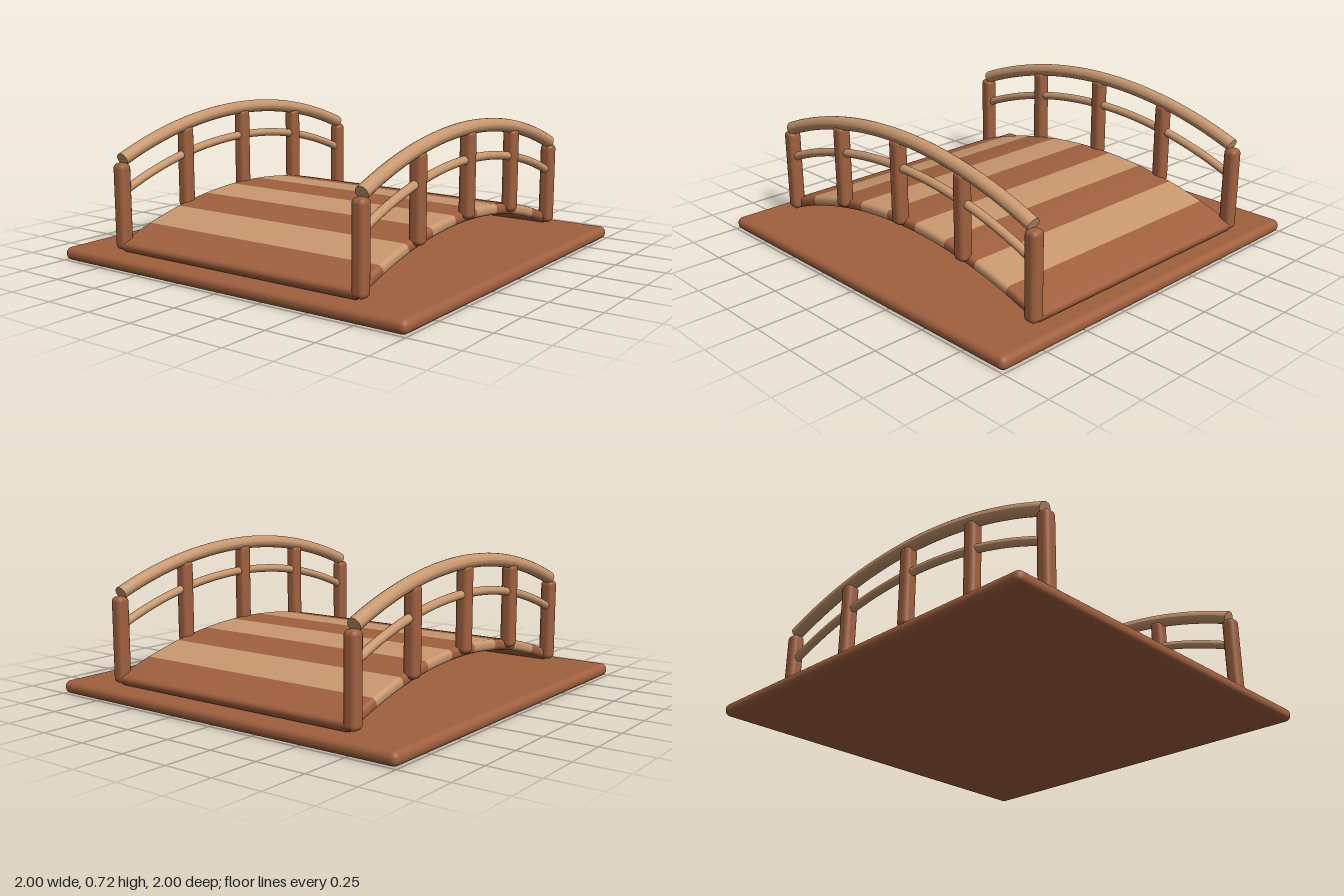
import * as THREE from 'three';
import { RoundedBoxGeometry } from 'three/addons/geometries/RoundedBoxGeometry.js';

// Rounded-rectangle ring of [z, y] points
function ring(halfH, halfD, r, steps = 5) {
  const pts = [];
  for (const [q, sz, sy] of [[0, 1, 1], [1, -1, 1], [2, -1, -1], [3, 1, -1]]) {
    for (let k = 0; k <= steps; k++) {
      const a = (q + k / steps) * Math.PI / 2;
      pts.push([sz * (halfD - r) + r * Math.cos(a), sy * (halfH - r) + r * Math.sin(a)]);
    }
  }
  return pts;
}

// Beam swept along a circular arch; stripes alternate between material 0 and 1
function archGeometry({ radius, top, halfLength, halfH, halfD, round, endRound = 0, stripes = 1 }) {
  const steps = 54, bevel = 4, stations = [];
  const end = (side, k) => {
    const a = k / bevel * Math.PI / 2;
    stations.push([side * (halfLength - endRound * (1 - Math.sin(a))), endRound * (1 - Math.cos(a))]);
  };
  if (endRound) for (let k = bevel; k >= 0; k--) end(-1, k);
  else stations.push([-halfLength, 0]);
  for (let i = 1; i < steps; i++) stations.push([-halfLength + 2 * halfLength * i / steps, 0]);
  if (endRound) for (let k = 0; k <= bevel; k++) end(1, k);
  else stations.push([halfLength, 0]);

  const pos = [], index = [];
  const geo = new THREE.BufferGeometry();
  const addPoint = (s, y, z) => {
    const a = s / radius;
    pos.push((radius + y) * Math.sin(a), top - radius + (radius + y) * Math.cos(a), z);
  };
  const addRing = ([s, inset]) => {
    const pts = ring(halfH - inset, halfD - inset, Math.max(round - inset, 0.001));
    const first = pos.length / 3;
    pts.forEach(([z, y]) => addPoint(s, y, z));
    return [first, pts.length];
  };
  let n = 0;
  stations.forEach(st => { n = addRing(st)[1]; });
  for (let i = 0; i < stations.length - 1; i++) {
    const start = index.length;
    for (let j = 0; j < n; j++) {
      const a = i * n + j, b = i * n + (j + 1) % n;
      index.push(a, a + n, b, b, a + n, b + n);
    }
    const mid = (stations[i][0] + stations[i + 1][0]) / 2;
    const stripe = Math.floor((mid + halfLength) / (2 * halfLength) * stripes);
    geo.addGroup(start, index.length - start, stripe % 2);
  }
  // Flat end caps with their own vertices
  for (const first of [true, false]) {
    const st = first ? stations[0] : stations[stations.length - 1];
    const [base] = addRing(st), centre = pos.length / 3, start = index.length;
    addPoint(st[0], 0, 0);
    for (let j = 0; j < n; j++) {
      const a = base + j, b = base + (j + 1) % n;
      if (first) index.push(centre, a, b);
      else index.push(centre, b, a);
    }
    geo.addGroup(start, index.length - start, 0);
  }
  geo.setAttribute('position', new THREE.Float32BufferAttribute(pos, 3));
  geo.setIndex(index);
  geo.computeVertexNormals();
  return geo;
}

export function createModel() {
  const darkWood = new THREE.MeshStandardMaterial({ color: 0xa0603e });
  darkWood.name = 'dark wood';
  const lightWood = new THREE.MeshStandardMaterial({ color: 0xc8986e });
  lightWood.name = 'light wood';

  const model = new THREE.Group();
  model.name = 'archedFootbridge';
  const add = (name, geo, mat, x = 0, y = 0, z = 0, parent = model) => {
    const mesh = new THREE.Mesh(geo, mat);
    mesh.name = name;
    mesh.position.set(x, y, z);
    parent.add(mesh);
  };

  // Ground slab
  add('base', new RoundedBoxGeometry(2, 0.065, 2, 5, 0.03), darkWood, 0, 0.0325, 0);

  // Striped arched deck
  add('deck', archGeometry({
    radius: 2.44, top: 0.258, halfLength: 0.925, halfH: 0.027, halfD: 0.7,
    round: 0.022, endRound: 0.022, stripes: 9,
  }), [darkWood, lightWood]);

  // Railings on both sides
  const handrail = archGeometry({
    radius: 2.31, top: 0.685, halfLength: 0.892, halfH: 0.033, halfD: 0.033, round: 0.033,
  });
  const midRail = archGeometry({
    radius: 2.22, top: 0.535, halfLength: 0.88, halfH: 0.021, halfD: 0.021, round: 0.021,
  });
  const posts = [[-0.875, 0.075, 0.5], [-0.4375, 0.21, 0.632], [0, 0.25, 0.675],
    [0.4375, 0.21, 0.632], [0.875, 0.075, 0.5]];
  for (const [name, z] of [['frontRailing', 0.7], ['backRailing', -0.7]]) {
    const railing = new THREE.Group();
    railing.name = name;
    railing.position.z = z;
    model.add(railing);
    add('handrail', handrail, lightWood, 0, 0, 0, railing);
    add('midRail', midRail, lightWood, 0, 0, 0, railing);
    for (const [x, y0, y1] of posts) {
      add('post', new RoundedBoxGeometry(0.07, y1 - y0, 0.07, 4, 0.025), darkWood, x, (y0 + y1) / 2, 0, railing);
    }
  }
  return model;
}
